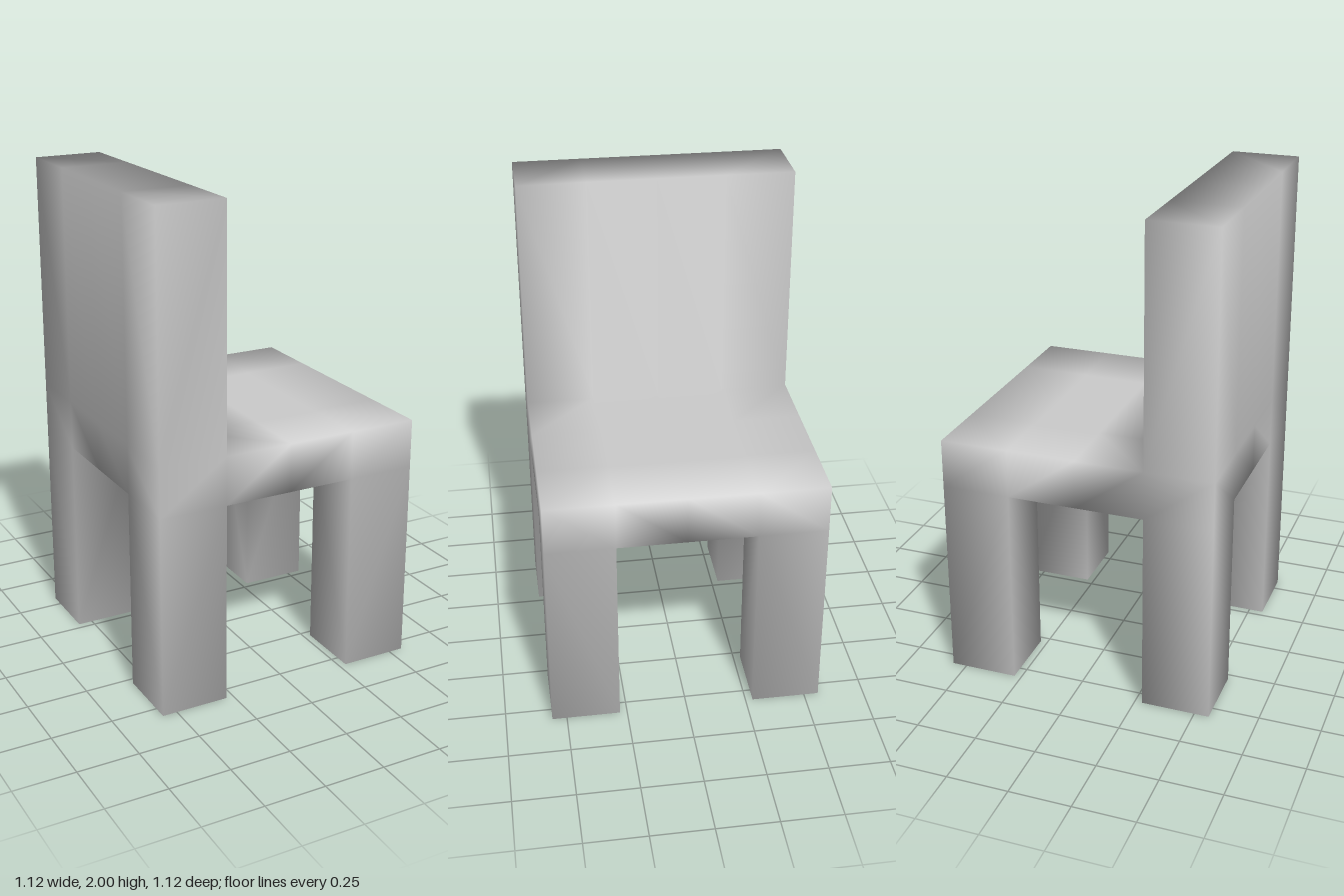
import * as THREE from 'three';
import { mergeVertices } from 'three/addons/utils/BufferGeometryUtils.js';

// Grid lines of the block layout: legs, seat slab and backrest share them
const SIDE = [-0.56, -0.28, 0, 0.28, 0.56];
const LINES = [SIDE, [0, 0.83, 1.03, 2], SIDE];

// Part that fills a grid cell, or null where it is empty
function partAt([i, j, k]) {
  if (i < 0 || i > 3 || k < 0 || k > 3) return null;
  const edge = (n) => n === 0 || n === 3;
  if (j === 0 && edge(i) && edge(k)) {
    return (i ? 'left' : 'right') + (k ? 'Front' : 'Rear') + 'Leg';
  }
  if (j === 1) return 'seat';
  if (j === 2 && i === 0) return 'backrest';
  return null;
}

export function createModel() {
  const positions = [];
  const ids = new Map();
  const parts = {};

  // Welded vertex at a grid corner
  const vertex = (corner) => {
    const key = corner.join();
    if (!ids.has(key)) {
      ids.set(key, ids.size);
      positions.push(...corner.map((n, axis) => LINES[axis][n]));
    }
    return ids.get(key);
  };

  // Exposed side of a cell as two triangles
  const addSide = (cell, axis, sign, indices) => {
    const quad = [[0, 0], [1, 0], [1, 1], [0, 1]].map(([u, v]) => {
      const corner = [...cell];
      if (sign > 0) corner[axis] += 1;
      corner[(axis + 1) % 3] += u;
      corner[(axis + 2) % 3] += v;
      return vertex(corner);
    });
    if (sign < 0) quad.reverse();
    const [a, b, c, d] = quad;
    indices.push(a, b, c, a, c, d);
  };

  for (let i = 0; i < 4; i++) for (let j = 0; j < 3; j++) for (let k = 0; k < 4; k++) {
    const cell = [i, j, k];
    const part = partAt(cell);
    if (!part) continue;
    parts[part] ??= [];
    for (let axis = 0; axis < 3; axis++) for (const sign of [-1, 1]) {
      const next = [...cell];
      next[axis] += sign;
      if (!partAt(next)) addSide(cell, axis, sign, parts[part]);
    }
  }

  // One smooth skin: normals run across the joints between parts
  const skin = new THREE.BufferGeometry();
  skin.setAttribute('position', new THREE.Float32BufferAttribute(positions, 3));
  skin.setIndex(Object.values(parts).flat());
  skin.computeVertexNormals();

  // Split the skin into its named parts
  const material = new THREE.MeshStandardMaterial({ color: 0xcccccc });
  const chair = new THREE.Group();
  chair.name = 'chair';
  for (const [name, indices] of Object.entries(parts)) {
    const piece = skin.clone();
    piece.setIndex(indices);
    const mesh = new THREE.Mesh(mergeVertices(piece.toNonIndexed()), material);
    mesh.name = name;
    chair.add(mesh);
  }
  return chair;
}
